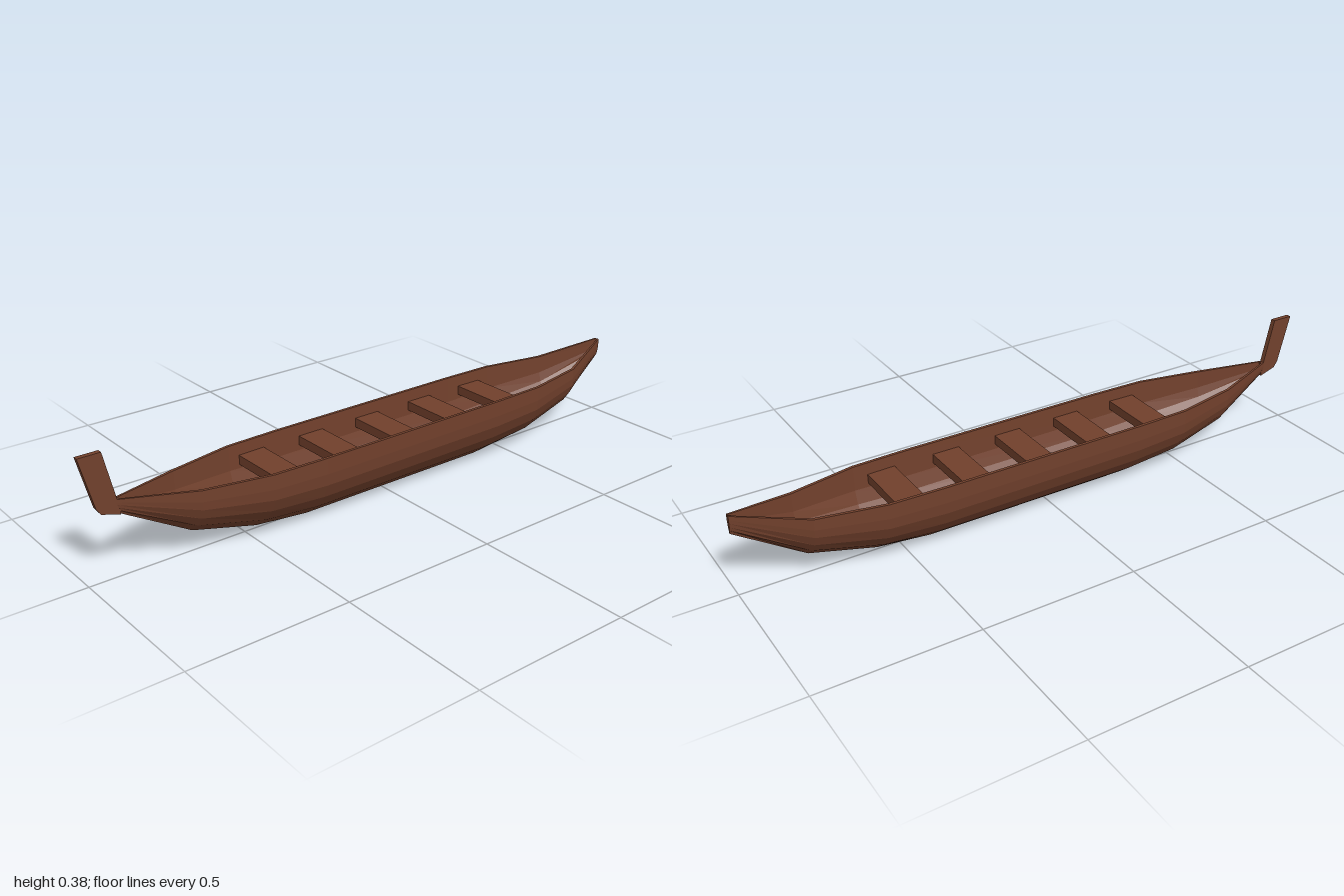
import * as THREE from 'three';

const wood = new THREE.MeshStandardMaterial({ color: 0x71402c, flatShading: true });
wood.name = 'reddish brown wood';

// Hull stations: x, half width, keel height, rim height
const STATIONS = [
  [-0.9, 0.008, 0.195, 0.236],
  [-0.68, 0.085, 0.07, 0.223],
  [-0.47, 0.127, 0.018, 0.223],
  [-0.29, 0.132, 0, 0.223],
  [0.4, 0.132, 0, 0.223],
  [0.58, 0.127, 0.018, 0.223],
  [0.79, 0.085, 0.07, 0.223],
  [1.0, 0.008, 0.205, 0.265],
];
// Half profiles as [width fraction, height fraction], from the rim downwards
const OUTER = [[1, 1], [1, 0.77], [0.97, 0.6], [0.83, 0.4], [0.57, 0.2], [0.13, 0]];
const INNER = [[1, 1], [0.97, 0.62], [0.85, 0.42], [0.54, 0.25]];

// Closed ring: outer skin from left rim to right rim, then inner skin back
function ring([x, w, bottom, top]) {
  const point = (half, side) => ([fz, fy]) =>
    new THREE.Vector3(x, bottom + fy * (top - bottom), side * fz * half);
  const inside = Math.max(w - 0.01, 0.002);
  return [
    ...OUTER.map(point(w, 1)),
    ...OUTER.map(point(w, -1)).reverse(),
    ...INNER.map(point(inside, -1)),
    ...INNER.map(point(inside, 1)).reverse(),
  ];
}

function hullGeometry() {
  const rings = STATIONS.map(ring);
  const pts = [];
  for (let i = 0; i < rings.length - 1; i++) {
    const p = rings[i], q = rings[i + 1], n = p.length;
    for (let j = 0; j < n; j++) {
      const k = (j + 1) % n;
      pts.push(p[j], p[k], q[k], p[j], q[k], q[j]);
    }
  }
  // Close both ends
  const first = rings[0], last = rings[rings.length - 1];
  for (let j = 1; j < OUTER.length * 2 - 1; j++) {
    pts.push(last[0], last[j], last[j + 1]);
    pts.push(first[0], first[j + 1], first[j]);
  }
  const geo = new THREE.BufferGeometry().setFromPoints(pts);
  geo.computeVertexNormals();
  return geo;
}

export function createModel() {
  const model = new THREE.Group();
  model.name = 'longBoat';
  const add = (geo, name, x = 0, y = 0, z = 0) => {
    const mesh = new THREE.Mesh(geo, wood);
    mesh.name = name;
    mesh.position.set(x, y, z);
    model.add(mesh);
  };

  add(hullGeometry(), 'hull');

  // Raked post standing at the thin end
  const post = new THREE.Shape([
    [-1, 0.384], [-0.96, 0.225], [-0.947, 0.206], [-0.89, 0.188],
    [-0.89, 0.235], [-0.897, 0.235], [-0.93, 0.384],
  ].map(([x, y]) => new THREE.Vector2(x, y)));
  add(new THREE.ExtrudeGeometry(post, { depth: 0.016, bevelEnabled: false }), 'endPost', 0, 0, -0.008);

  // Five rowing benches
  const bench = new THREE.BoxGeometry(0.09, 0.03, 0.238);
  for (let i = 0; i < 5; i++) add(bench, 'bench', -0.39 + i * 0.22, 0.17);

  return model;
}
